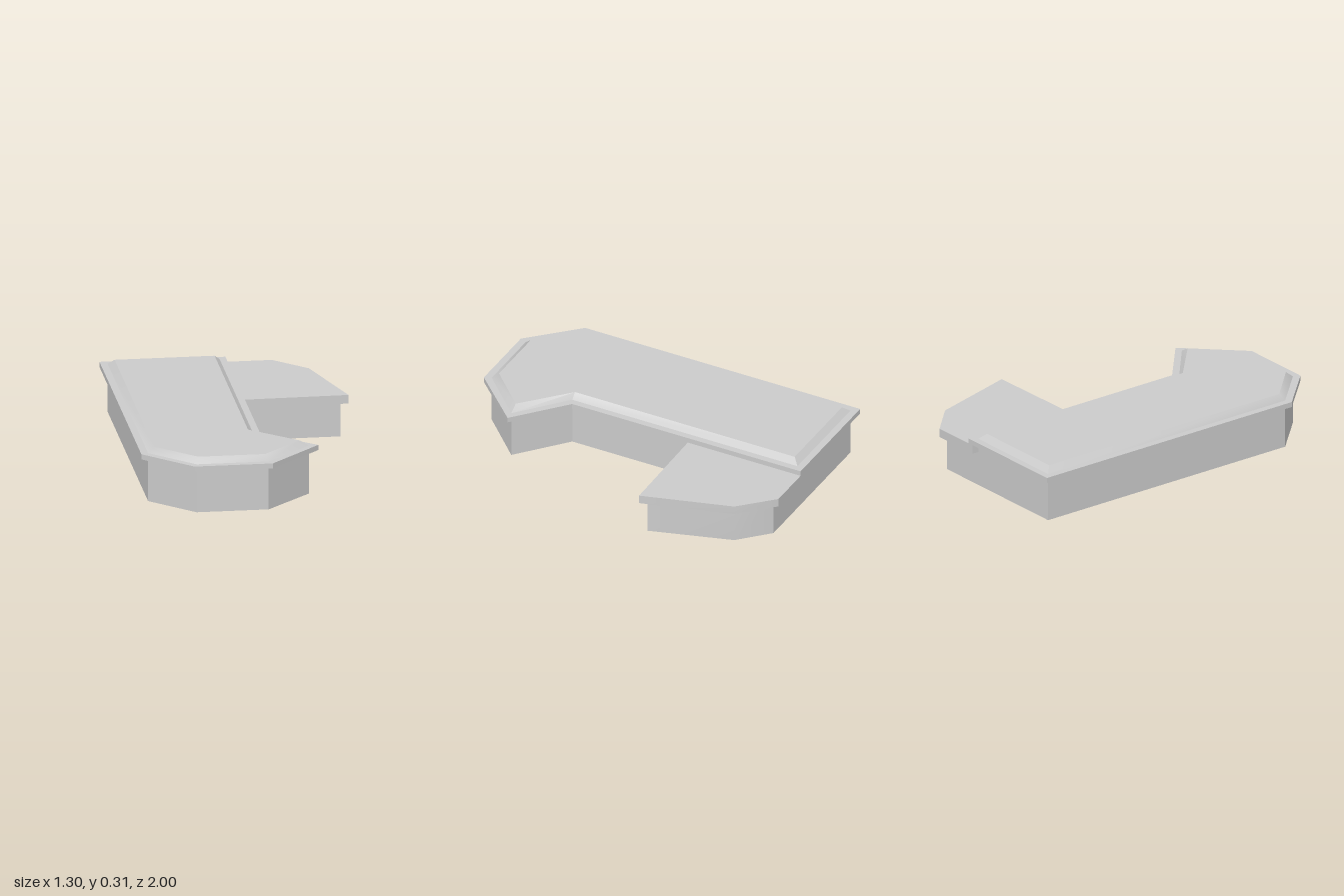
import * as THREE from 'three';
import { toCreasedNormals } from 'three/addons/utils/BufferGeometryUtils.js';

// Closed prism between two [x, z] outlines with equal point counts
function loft(name, lower, upper, y0, y1) {
  const pos = [];
  const n = lower.length;
  const lo = lower.map(([x, z]) => new THREE.Vector3(x, y0, z));
  const hi = upper.map(([x, z]) => new THREE.Vector3(x, y1, z));
  const tri = (a, b, c) => { for (const p of [a, b, c]) pos.push(p.x, p.y, p.z); };

  // walls
  for (let i = 0; i < n; i++) {
    const j = (i + 1) % n;
    tri(lo[j], lo[i], hi[i]);
    tri(lo[j], hi[i], hi[j]);
  }

  // caps, each triangle turned to face up or down
  const cap = (ring, up) => {
    const flat = ring.map((p) => new THREE.Vector2(p.x, p.z));
    for (const [i, j, k] of THREE.ShapeUtils.triangulateShape(flat, [])) {
      const [a, b, c] = [ring[i], ring[j], ring[k]];
      const ny = (b.z - a.z) * (c.x - a.x) - (b.x - a.x) * (c.z - a.z);
      if ((ny > 0) === up) tri(a, b, c);
      else tri(a, c, b);
    }
  };
  cap(lo, false);
  cap(hi, true);

  const geometry = new THREE.BufferGeometry();
  geometry.setAttribute('position', new THREE.Float32BufferAttribute(pos, 3));
  const mesh = new THREE.Mesh(
    toCreasedNormals(geometry, THREE.MathUtils.degToRad(35)),
    new THREE.MeshStandardMaterial({ color: 0xcccccc })
  );
  mesh.name = name;
  return mesh;
}

export function createModel() {
  const model = new THREE.Group();
  model.name = 'counterBlock';

  // Main block outlines: wall line, overhanging slab and raised top
  const wall = [[-0.615, -0.96], [0.015, -0.96], [0.015, 0.46], [0.293, 0.697],
    [0.03, 0.96], [-0.375, 0.96], [-0.615, 0.717]];
  const slab = [[-0.655, -1], [0.053, -1], [0.053, 0.44], [0.345, 0.693],
    [0.048, 1], [-0.392, 1], [-0.655, 0.733]];
  const crown = [[-0.58, -0.925], [-0.018, -0.925], [-0.018, 0.46], [0.24, 0.697],
    [0.015, 0.922], [-0.36, 0.922], [-0.58, 0.703]];

  // Side wing outlines
  const wingWall = [[0, -0.96], [0.3, -0.96], [0.465, -0.8], [0.608, -0.33], [0, -0.325]];
  const wingSlab = [[0.015, -1], [0.315, -1], [0.498, -0.818], [0.65, -0.298], [0.015, -0.288]];

  model.add(
    loft('mainBody', wall, wall, 0, 0.25),
    loft('mainSlab', slab, slab, 0.25, 0.28),
    loft('bevelledTop', wall, crown, 0.28, 0.312),
    loft('wingBody', wingWall, wingWall, 0, 0.2),
    loft('wingSlab', wingSlab, wingSlab, 0.2, 0.25)
  );
  return model;
}
